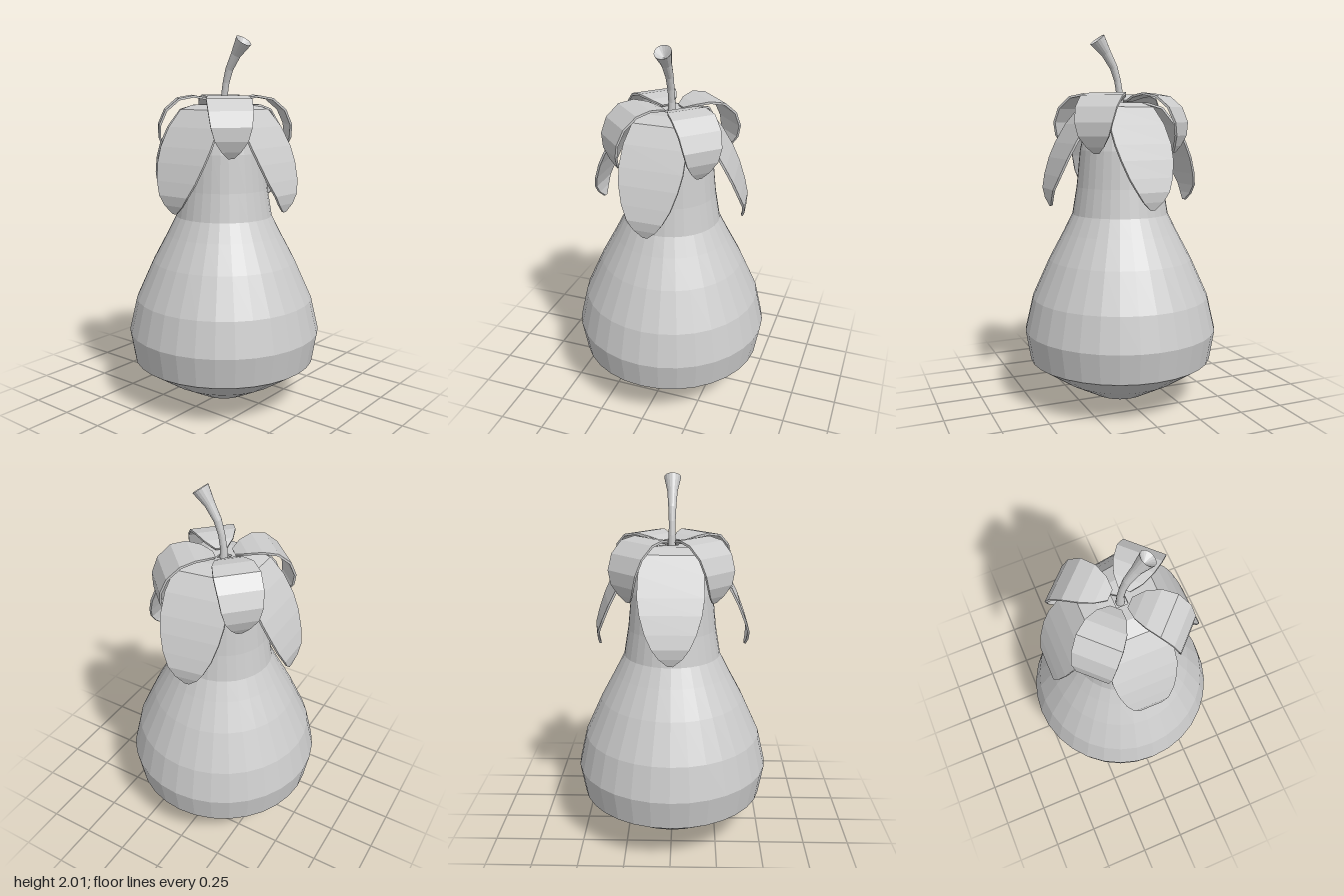
import * as THREE from 'three';

const material = new THREE.MeshStandardMaterial({ color: 0xcccccc, flatShading: true, side: THREE.DoubleSide });

// Solid blade swept outward along +z; rows are [reach, height, half width]
function leafGeometry(rows, thickness) {
  const rings = rows.map(([r, y, w], i) => {
    const a = rows[Math.max(i - 1, 0)], b = rows[Math.min(i + 1, rows.length - 1)];
    const n = new THREE.Vector3(0, b[0] - a[0], a[1] - b[1]).normalize().multiplyScalar(thickness);
    return [
      [-w, y, r], [w, y, r],
      [w, y - n.y, r - n.z], [-w, y - n.y, r - n.z],
    ];
  });
  const pos = [];
  const quad = (a, b, c, d) => pos.push(...a, ...b, ...c, ...a, ...c, ...d);
  for (let i = 0; i < rings.length - 1; i++) {
    for (let k = 0; k < 4; k++) {
      const m = (k + 1) % 4;
      quad(rings[i][k], rings[i + 1][k], rings[i + 1][m], rings[i][m]);
    }
  }
  quad(...rings[0]);
  quad(...rings[rings.length - 1].slice().reverse());
  const geo = new THREE.BufferGeometry();
  geo.setAttribute('position', new THREE.Float32BufferAttribute(pos, 3));
  geo.computeVertexNormals();
  return geo;
}

// Flared stem: rings placed square to a bent path; rows are [x, y, radius]
function stemGeometry(rows, sides) {
  const curve = new THREE.CatmullRomCurve3(rows.map(([x, y]) => new THREE.Vector3(x, y, 0)));
  const pos = [], index = [];
  rows.forEach(([x, y, r], i) => {
    const t = curve.getTangent(i / (rows.length - 1));
    for (let k = 0; k < sides; k++) {
      const a = (k / sides) * Math.PI * 2, u = Math.cos(a) * r;
      pos.push(x + t.y * u, y - t.x * u, Math.sin(a) * r);
    }
  });
  for (let i = 0; i < rows.length - 1; i++) {
    for (let k = 0; k < sides; k++) {
      const a = i * sides + k, b = i * sides + (k + 1) % sides;
      index.push(a, a + sides, b, b, a + sides, b + sides);
    }
  }
  // Shallow hollow in the cut end
  const [ex, ey] = rows[rows.length - 1], last = (rows.length - 1) * sides;
  pos.push(ex - 0.02, ey - 0.035, 0);
  for (let k = 0; k < sides; k++) index.push(last + k, rows.length * sides, last + (k + 1) % sides);
  const geo = new THREE.BufferGeometry();
  geo.setAttribute('position', new THREE.Float32BufferAttribute(pos, 3));
  geo.setIndex(index);
  geo.computeVertexNormals();
  return geo;
}

export function createModel() {
  const model = new THREE.Group();
  const add = (name, geo) => {
    const mesh = new THREE.Mesh(geo, material);
    mesh.name = name;
    model.add(mesh);
    return mesh;
  };

  // Fruit body
  const profile = [
    [0, 0], [0.15, 0.025], [0.34, 0.13], [0.505, 0.24], [0.533, 0.405], [0.49, 0.59],
    [0.395, 0.8], [0.315, 0.95], [0.265, 1.05], [0.24, 1.2], [0.22, 1.4],
    [0.19, 1.53], [0.13, 1.61], [0, 1.635],
  ].map(([r, y]) => new THREE.Vector2(r, y));
  add('body', new THREE.LatheGeometry(profile, 32));

  // Four long leaves, the rear one slightly twisted
  const longLeaf = leafGeometry([
    [0.03, 1.65, 0.04], [0.11, 1.655, 0.12], [0.19, 1.63, 0.145], [0.26, 1.54, 0.167],
    [0.32, 1.44, 0.17], [0.36, 1.36, 0.157], [0.395, 1.27, 0.13], [0.417, 1.2, 0.095],
    [0.415, 1.15, 0.06], [0.405, 1.108, 0.012],
  ], 0.012);
  for (let i = 0; i < 4; i++) {
    const leaf = add('longLeaf', longLeaf);
    leaf.rotation.y = (i * Math.PI) / 2 + (i === 2 ? 0.16 : 0);
    if (i === 2) leaf.position.x = 0.05;
  }

  // Four short leaves arching over the gaps
  const shortLeaf = leafGeometry([
    [0.05, 1.67, 0.03], [0.1, 1.692, 0.075], [0.17, 1.705, 0.105], [0.25, 1.69, 0.118],
    [0.32, 1.63, 0.115], [0.355, 1.55, 0.105], [0.355, 1.48, 0.085],
    [0.335, 1.425, 0.05], [0.315, 1.39, 0.015],
  ], 0.012);
  for (let i = 0; i < 4; i++) {
    add('shortLeaf', shortLeaf).rotation.y = Math.PI / 4 + (i * Math.PI) / 2;
  }

  // Bent stem
  add('stem', stemGeometry([
    [0, 1.6, 0.024], [0.002, 1.7, 0.018], [0.014, 1.77, 0.018], [0.036, 1.84, 0.021],
    [0.08, 1.915, 0.027], [0.132, 1.985, 0.045],
  ], 16));

  return model;
}
